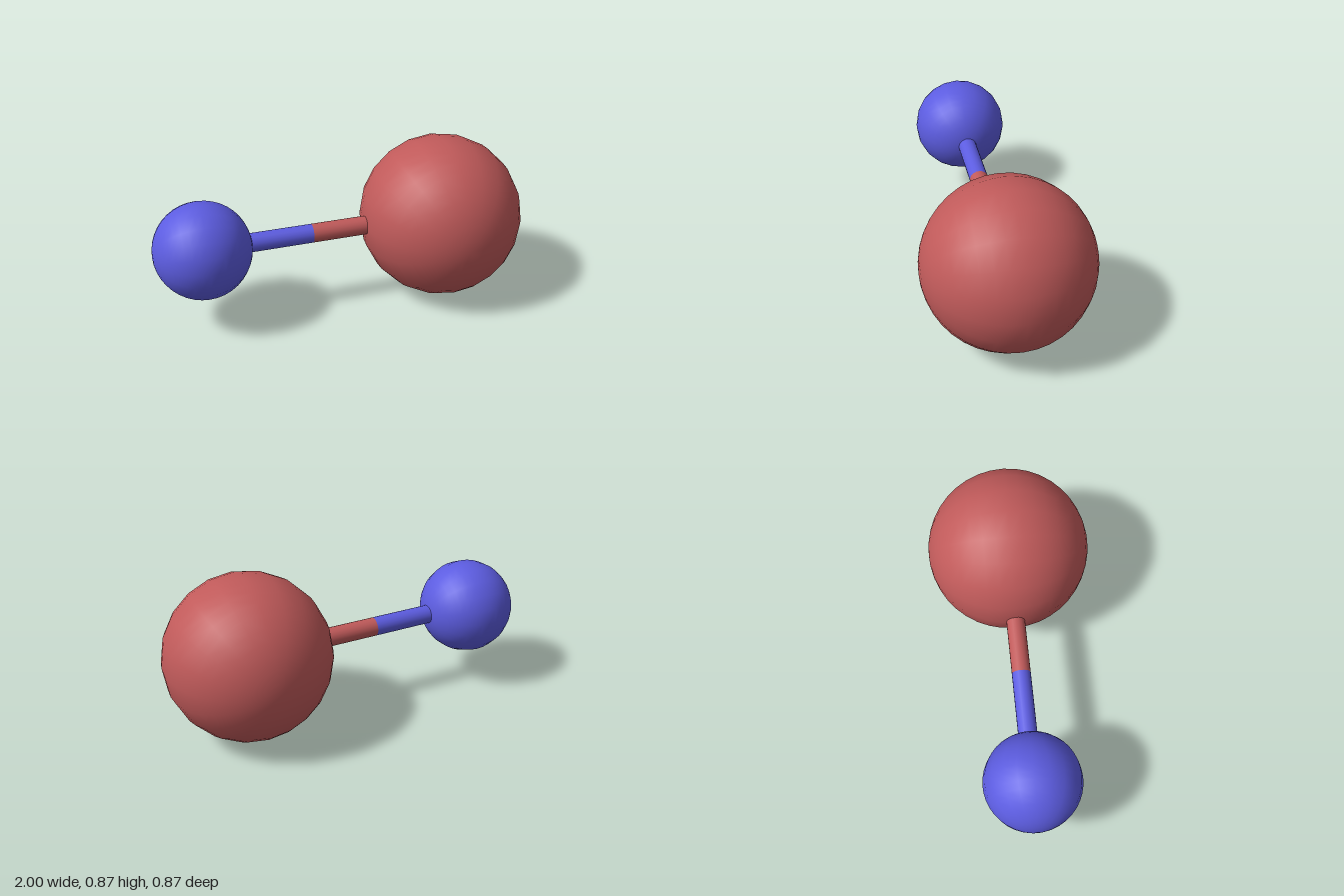
import * as THREE from 'three';

const RED = new THREE.MeshStandardMaterial({ color: 0xc05a5a });
const BLUE = new THREE.MeshStandardMaterial({ color: 0x5c5ce0 });

export function createModel() {
  const model = new THREE.Group();
  const redCentre = new THREE.Vector3(0.558, 0.44, 0);
  const blueCentre = new THREE.Vector3(-0.745, 0.44, 0.025);
  const axis = redCentre.clone().sub(blueCentre).normalize();
  const up = new THREE.Vector3(0, 1, 0);

  // Ball with its poles turned to the given direction
  function ball(name, radius, centre, pole, material) {
    const mesh = new THREE.Mesh(new THREE.SphereGeometry(radius, 20, 20), material);
    mesh.name = name;
    mesh.position.copy(centre);
    mesh.quaternion.setFromUnitVectors(up, pole);
    model.add(mesh);
  }

  // Round rod between two points
  function rod(name, from, to, material) {
    const geometry = new THREE.CylinderGeometry(0.05, 0.05, from.distanceTo(to), 20);
    const mesh = new THREE.Mesh(geometry, material);
    mesh.name = name;
    mesh.position.copy(from).lerp(to, 0.5);
    mesh.quaternion.setFromUnitVectors(up, axis);
    model.add(mesh);
  }

  // Two atoms
  ball('largeBall', 0.437, redCentre, new THREE.Vector3(0, 0, 1), RED);
  ball('smallBall', 0.255, blueCentre, new THREE.Vector3(1, 0, 0), BLUE);

  // Two-coloured bond, changing colour at the joint
  const joint = blueCentre.clone().addScaledVector(axis, 0.58);
  rod('smallBallBond', blueCentre, joint, BLUE);
  rod('largeBallBond', joint, redCentre, RED);

  return model;
}
